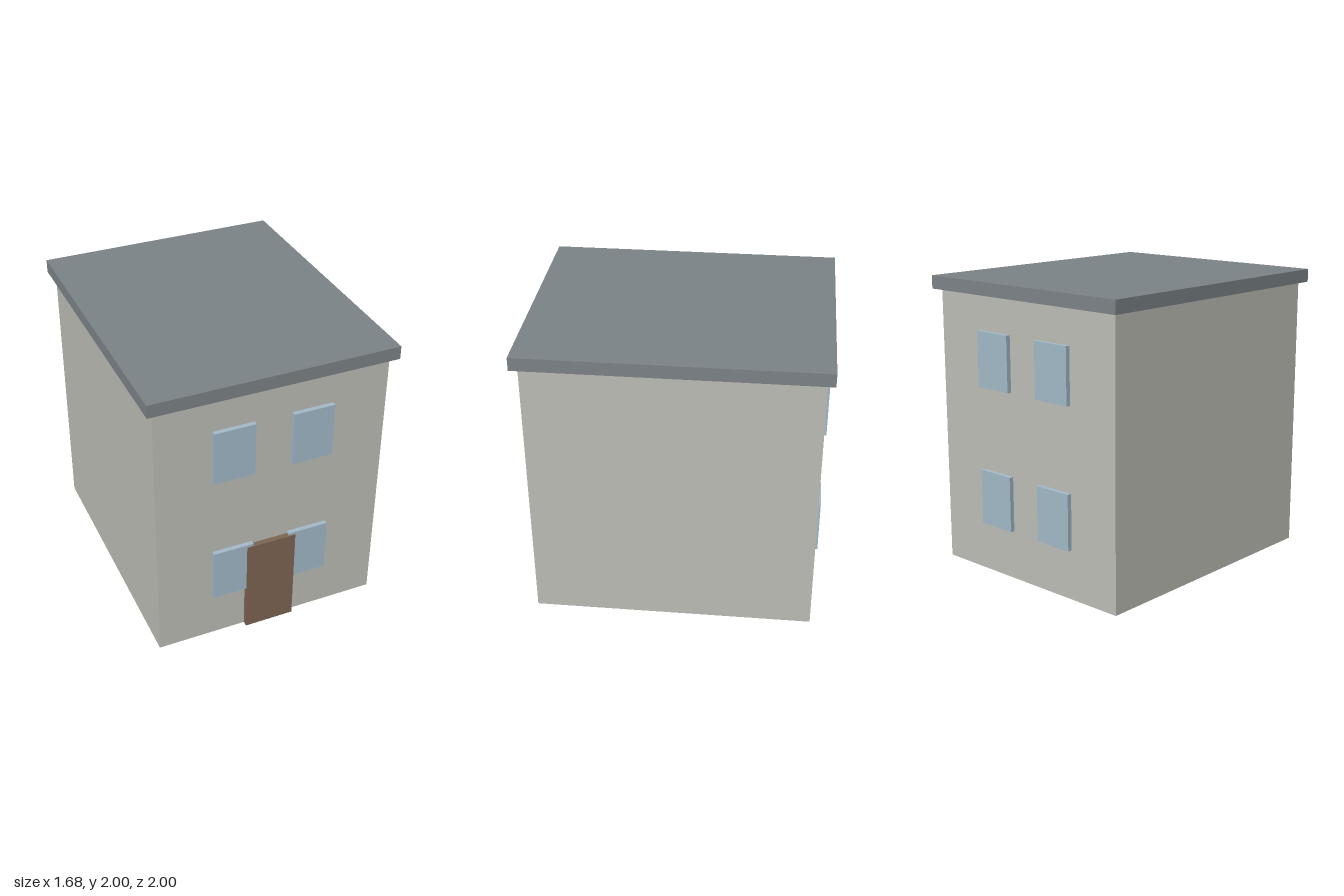
import * as THREE from 'three';

export function createModel() {
  const house = new THREE.Group();
  house.name = 'house';

  const mat = (name, color) => {
    const m = new THREE.MeshStandardMaterial({ color });
    m.name = name;
    return m;
  };
  const wall = mat('wall plaster', 0xbebeb6);
  const slate = mat('roof slate', 0x7c8387);
  const glass = mat('window glass', 0xa2bac9);
  const wood = mat('door wood', 0x7f6553);

  // Box placed by its centre in x and z, and its base in y
  const box = (name, material, w, h, d, x, y, z) => {
    const mesh = new THREE.Mesh(new THREE.BoxGeometry(w, h, d), material);
    mesh.name = name;
    mesh.position.set(x, y + h / 2, z);
    house.add(mesh);
  };

  // Walls and overhanging flat roof
  box('walls', wall, 1.588, 1.91, 1.905, 0, 0, 0);
  box('roof', slate, 1.68, 0.09, 2, 0, 1.91, 0);

  // Two rows of windows on the front and back
  for (const side of [1, -1]) {
    for (const y of [0.338, 1.29]) {
      for (const x of [-0.27, 0.27]) {
        box(side > 0 ? 'frontWindow' : 'backWindow', glass, 0.282, 0.38, 0.06, x, y, side * 0.9535);
      }
    }
  }

  // Front door, standing just proud of the windows
  box('door', wood, 0.348, 0.7, 0.06, 0, 0, 0.96);

  return house;
}
